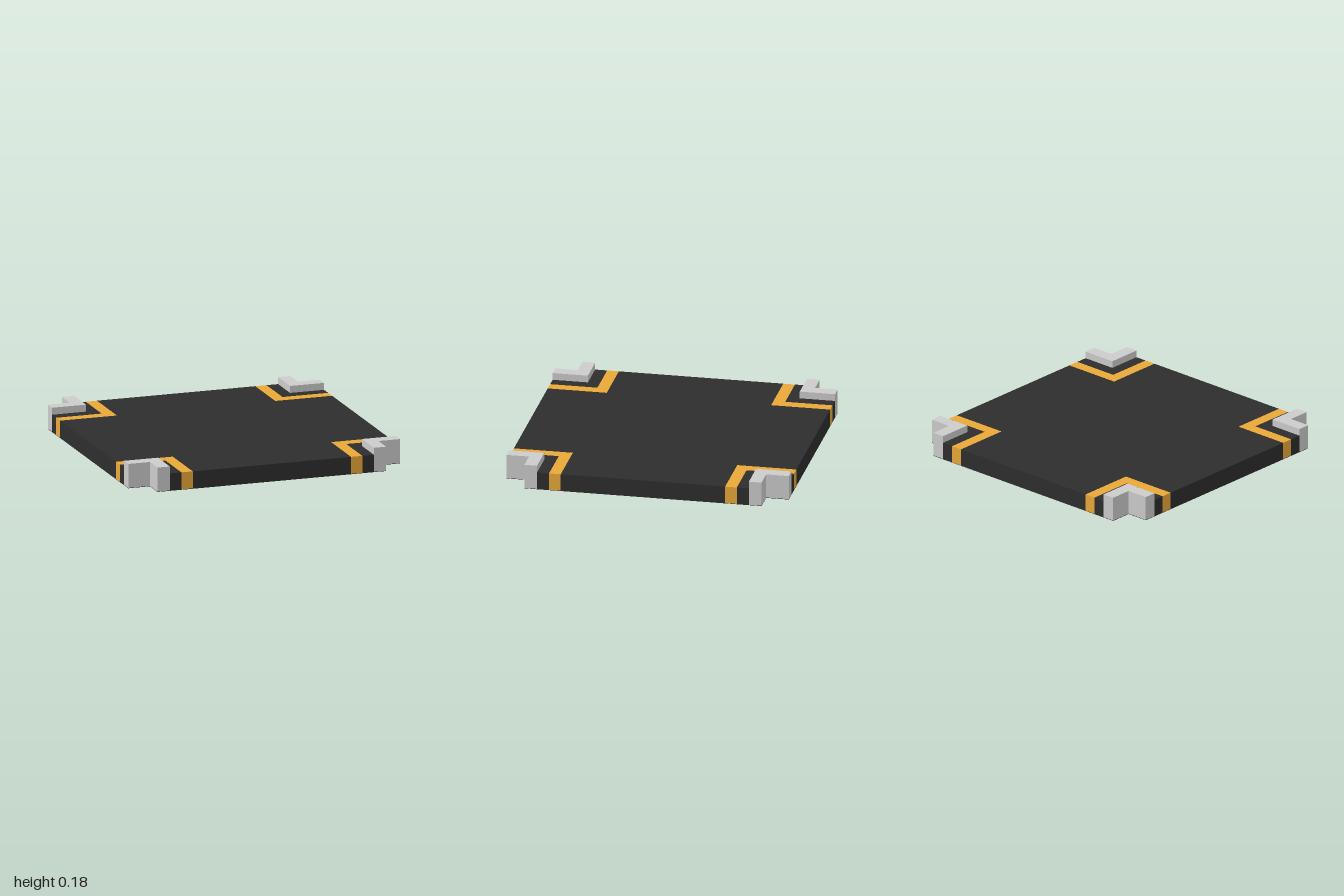
import * as THREE from 'three';

const dark = new THREE.MeshStandardMaterial({ color: 0x2d2d2d });
const gold = new THREE.MeshStandardMaterial({ color: 0xe8a838 });
const grey = new THREE.MeshStandardMaterial({ color: 0xcccccc });

const BASE = 0.003; // thickness of the underside sheet
const SLAB = 0.125; // top of the tile
const GUARD = 0.175; // top of the corner guards

// Extrude a plan outline upward from y0 to y1
function slab(points, y0, y1) {
  const shape = new THREE.Shape(points.map(([x, y]) => new THREE.Vector2(x, y)));
  const geometry = new THREE.ExtrudeGeometry(shape, { depth: y1 - y0, bevelEnabled: false });
  return geometry.rotateX(-Math.PI / 2).translate(0, y0, 0);
}

// Square of half-size 1 with its corners cut back to n
const notchedSquare = (n) => [
  [-n, -1], [n, -1], [n, -n], [1, -n], [1, n], [n, n],
  [n, 1], [-n, 1], [-n, n], [-1, n], [-1, -n], [-n, -n],
];

// L-shaped strip running around a corner, from a out to b
const cornerStrip = (a, b) => [[a, a], [1, a], [1, b], [b, b], [b, 1], [a, 1]];

export function createModel() {
  const model = new THREE.Group();
  const add = (name, geometry, material, turn = 0) => {
    const mesh = new THREE.Mesh(geometry, material);
    mesh.name = name;
    mesh.rotation.y = turn;
    model.add(mesh);
  };

  // Main tile and the sheet closing its underside
  add('underside', slab(notchedSquare(0.84), 0, BASE), dark);
  add('floorPanel', slab(notchedSquare(0.582), BASE, SLAB), dark);

  // Nested strips at each corner: gold stripe, dark border, raised guard
  const strips = [
    ['goldStripe', slab(cornerStrip(0.582, 0.665), BASE, SLAB), gold],
    ['darkBorder', slab(cornerStrip(0.665, 0.75), BASE, SLAB), dark],
    ['cornerGuard', slab(cornerStrip(0.75, 0.84), BASE, GUARD), grey],
  ];
  for (let i = 0; i < 4; i++) {
    for (const [name, geometry, material] of strips) {
      add(`${name}${i + 1}`, geometry, material, (i * Math.PI) / 2);
    }
  }
  return model;
}
